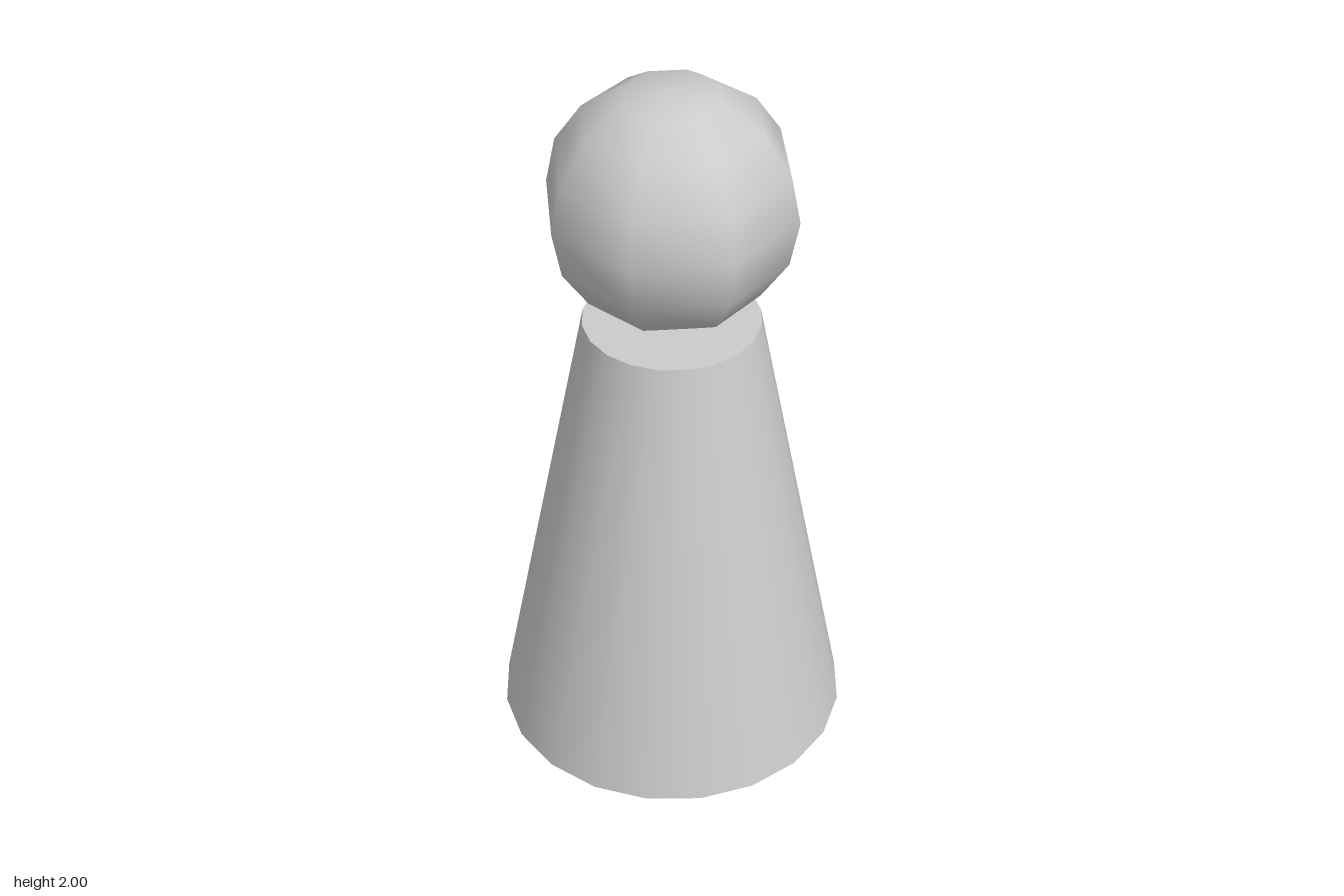
import * as THREE from 'three';

export function createModel() {
  const group = new THREE.Group();
  const material = new THREE.MeshStandardMaterial({ color: 0xcccccc, side: THREE.DoubleSide });

  const add = (name, geometry, y) => {
    const mesh = new THREE.Mesh(geometry, material);
    mesh.name = name;
    mesh.position.y = y;
    group.add(mesh);
    return mesh;
  };

  // Tapered body: smooth 20-sided wall, open underneath, flat lid on top
  const bodyHeight = 1.31, bodyTop = 0.24, bodyBase = 0.488, sides = 20;
  add('body', new THREE.CylinderGeometry(bodyTop, bodyBase, bodyHeight, sides, 1, true), bodyHeight / 2);
  add('bodyLid', new THREE.CircleGeometry(bodyTop, sides).rotateX(-Math.PI / 2), bodyHeight);

  // Floating head: eight-sided ball, cut flat below, with a slightly lowered crown
  const radius = 0.342, headY = 1.672, crown = 2 - headY;
  const cut = Math.PI * 7 / 8;
  const ball = new THREE.SphereGeometry(radius, 8, 7, 0, Math.PI * 2, 0, cut);
  const position = ball.attributes.position;
  for (let i = 0; i < position.count; i++) {
    position.setY(i, Math.min(position.getY(i), crown));
  }
  add('head', ball, headY);
  add('headUnderside', new THREE.CircleGeometry(radius * Math.sin(cut), 8).rotateX(Math.PI / 2),
    headY + radius * Math.cos(cut));

  return group;
}
